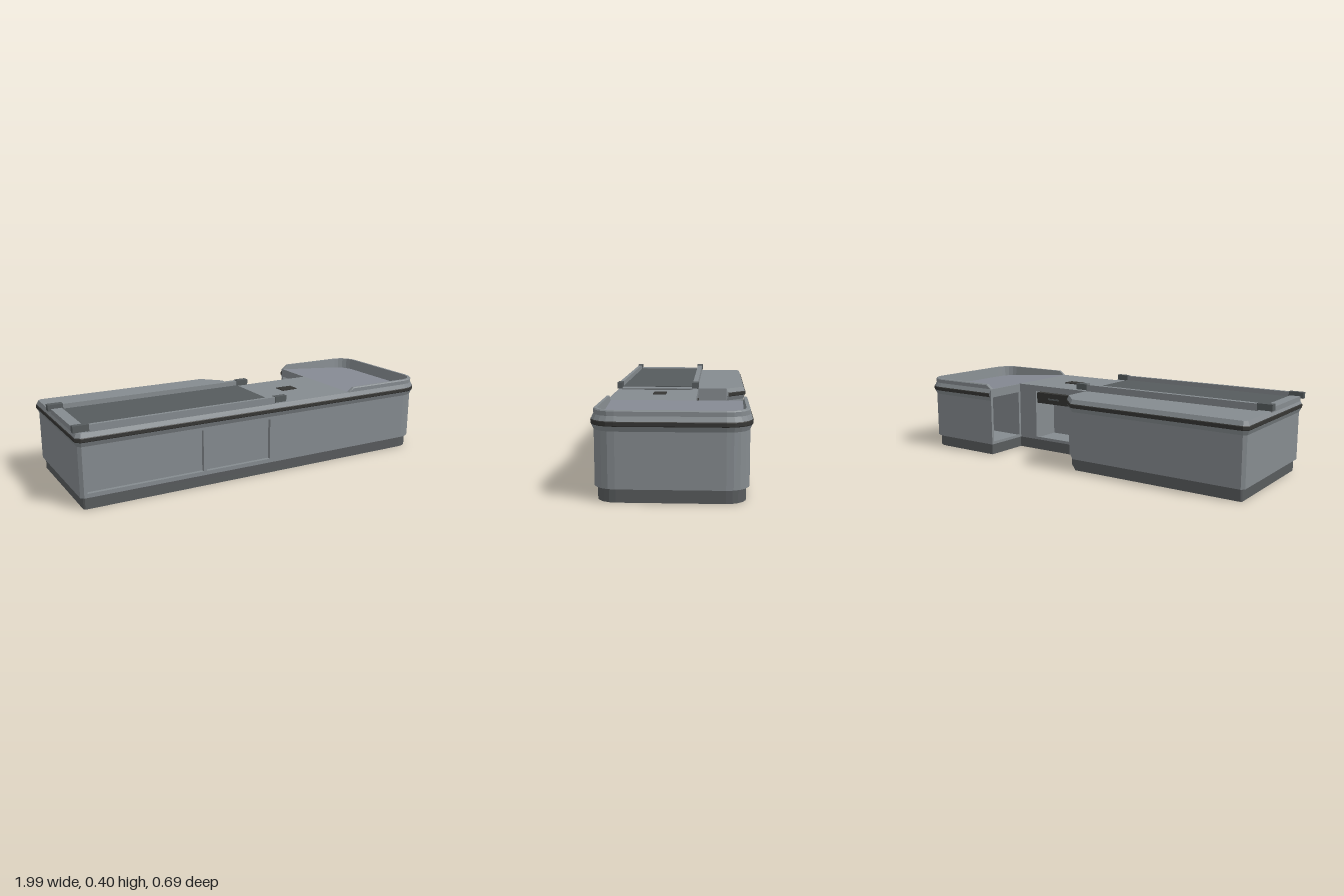
import * as THREE from 'three';

const mat = (name, color) => {
  const m = new THREE.MeshStandardMaterial({ color, side: THREE.DoubleSide });
  m.name = name;
  return m;
};

export function createModel() {
  const body = mat('grey panel', 0x858b8f);
  const trayGrey = mat('tray grey', 0x858993);
  const base = mat('plinth grey', 0x585b5d);
  const beltGrey = mat('belt grey', 0x565b5d);
  const dark = mat('dark trim', 0x363634);
  const group = new THREE.Group();

  const add = (name, geo, material) => {
    const mesh = new THREE.Mesh(geo, material);
    mesh.name = name;
    group.add(mesh);
    return mesh;
  };
  const box = (name, material, x0, x1, y0, y1, z0, z1) => {
    const g = new THREE.BoxGeometry(x1 - x0, y1 - y0, z1 - z0);
    g.translate((x0 + x1) / 2, (y0 + y1) / 2, (z0 + z1) / 2);
    return add(name, g, material);
  };

  // Outer outline [x, z], from the tray's notch corner round to the shelf's chamfer
  const arc = (cx, cz, r, from, n = 5) => Array.from({ length: n + 1 }, (_, i) => {
    const a = from + (i / n) * Math.PI / 2;
    return [cx + r * Math.cos(a), cz + r * Math.sin(a)];
  });
  const trayPath = [[0.5, -0.33], [0.53, -0.33], ...arc(0.88, -0.23, 0.1, -Math.PI / 2),
    ...arc(0.88, 0.23, 0.1, 0), [0.53, 0.33], [0.5, 0.33]];
  const restPath = [[-0.965, 0.33], [-0.98, 0.315], [-0.98, -0.315], [-0.965, -0.33],
    [-0.05, -0.33], [0.04, -0.24]];
  const path = [...trayPath, ...restPath];
  const plan = [...path, [0.04, -0.09], [0.5, -0.09]];

  // Mitred outward offset of an outline
  const offset = (pts, d, closed = false) => pts.map((p, i) => {
    const n = pts.length;
    const normal = (a, b) => new THREE.Vector2(b[1] - a[1], a[0] - b[0]).normalize();
    const prev = i > 0 ? pts[i - 1] : closed ? pts[n - 1] : null;
    const next = i < n - 1 ? pts[i + 1] : closed ? pts[0] : null;
    const n1 = prev ? normal(prev, p) : normal(p, next);
    const n2 = next ? normal(p, next) : n1;
    const k = d / (1 + n1.dot(n2));
    return [p[0] + (n1.x + n2.x) * k, p[1] + (n1.y + n2.y) * k];
  });

  // Sweep a profile of [offset, y] along an outline
  const sweep = (pts, profile, skip = () => false, yRule = (x, y) => y) => {
    const rows = profile.map(([d, y]) =>
      offset(pts, d).map(([x, z]) => [x, yRule(x, y), z]));
    const v = [];
    for (let j = 0; j < rows.length - 1; j++) {
      for (let i = 0; i < pts.length - 1; i++) {
        if (skip(pts[i], pts[i + 1])) continue;
        const a = rows[j][i], b = rows[j][i + 1], c = rows[j + 1][i + 1], d = rows[j + 1][i];
        v.push(...a, ...d, ...b, ...b, ...d, ...c);
      }
    }
    const g = new THREE.BufferGeometry();
    g.setAttribute('position', new THREE.Float32BufferAttribute(v, 3));
    g.computeVertexNormals();
    return g;
  };

  const toShape = pts => new THREE.Shape(pts.map(([x, z]) => new THREE.Vector2(x, -z)));
  const slab = (pts, y, h) => new THREE.ExtrudeGeometry(toShape(pts), { depth: h, bevelEnabled: false })
    .rotateX(-Math.PI / 2).translate(0, y, 0);
  const rect = (C, x0, x1, y0, y1) => {
    const s = new C();
    s.moveTo(x0, y0).lineTo(x1, y0).lineTo(x1, y1).lineTo(x0, y1).closePath();
    return s;
  };
  const panel = (outer, holes, depth) => {
    const s = rect(THREE.Shape, ...outer);
    holes.forEach(h => s.holes.push(rect(THREE.Path, ...h)));
    return new THREE.ExtrudeGeometry(s, { depth, bevelEnabled: false });
  };

  // Plinth and body floor
  add('plinth', slab(offset(plan, -0.014, true), 0, 0.06), base);
  add('bodyFloor', slab(plan, 0.06, 0.008), body);

  // Outer walls, with the front left for the panelled piece
  const isFront = (a, b) => a[1] > 0.329 && b[1] > 0.329;
  add('outerWalls', sweep(path, [[0, 0.06], [0, 0.365]], isFront), body);
  const front = panel([-0.965, 0.88, 0.06, 0.365],
    [[-0.95, -0.365, 0.08, 0.29], [-0.35, 0.01, 0.08, 0.29]], 0.02);
  add('frontWall', front.translate(0, 0, 0.31), body);
  box('frontRecessBacking', body, -0.96, 0.03, 0.07, 0.3, 0.3, 0.311);

  // Bumper strip between two sloping shoulders
  add('lowerShoulder', sweep(path, [[0, 0.303], [0.01, 0.325]]), body);
  add('bumper', sweep(path, [[0.008, 0.324], [0.013, 0.328], [0.013, 0.343], [0.008, 0.348]]), dark);
  add('upperShoulder', sweep(path, [[0.01, 0.346], [0, 0.367]]), body);

  // Worktop and rear shelf
  const topPlan = [[0.5, -0.09], [0.5, 0.33], ...restPath, [0.04, -0.09]];
  add('worktop', slab(topPlan, 0.345, 0.022), body);

  // Sunken tray with a sloping floor and raised rim
  const floor = new THREE.ShapeGeometry(toShape(offset(trayPath, -0.012))).rotateX(-Math.PI / 2);
  const pos = floor.attributes.position;
  for (let i = 0; i < pos.count; i++) pos.setY(i, 0.367 - 0.075 * (pos.getX(i) - 0.5));
  floor.computeVertexNormals();
  add('trayFloor', floor, trayGrey);
  const rimRise = (x, y) => Math.min(y, 0.367 + Math.max(0, x - 0.5) * 0.8);
  add('trayRim', sweep(trayPath, [[0, 0.365], [0, 0.386], [-0.004, 0.391], [-0.017, 0.391], [-0.025, 0.325]],
    undefined, rimRise), body);

  // Cashier notch: shelf side, knee recess and open tray cabinet
  box('shelfSide', body, 0.03, 0.04, 0.06, 0.365, -0.24, -0.09);
  const back = panel([0.04, 0.5, 0.06, 0.36], [[0.05, 0.385, 0.075, 0.335]], 0.012);
  add('notchWall', back.translate(0, 0, -0.09), body);
  box('recessBack', body, 0.04, 0.395, 0.065, 0.35, 0.07, 0.08);
  for (const x of [0.04, 0.385]) box('recessSide', body, x, x + 0.01, 0.065, 0.35, -0.085, 0.075);
  const cabinet = panel([0.09, 0.33, 0.06, 0.365], [[0.105, 0.315, 0.075, 0.32]], 0.01);
  add('cabinetFrame', cabinet.rotateY(Math.PI / 2).translate(0.5, 0, 0), body);
  box('cabinetInnerSide', body, 0.5, 0.97, 0.065, 0.32, -0.09, -0.08);

  // Cash drawer under the worktop
  box('cashDrawer', dark, 0.14, 0.37, 0.272, 0.33, -0.097, 0.06);
  box('drawerHandle', beltGrey, 0.22, 0.29, 0.295, 0.303, -0.1, -0.096);

  // Conveyor belt with side rails and end caps
  box('belt', beltGrey, -0.93, 0.036, 0.36, 0.378, -0.06, 0.31);
  box('beltEndPlate', body, -0.985, -0.932, 0.36, 0.384, -0.06, 0.31);
  box('beltExitPlate', body, 0.04, 0.1, 0.36, 0.375, -0.06, 0.31);
  for (const [z0, z1] of [[0.31, 0.332], [-0.09, -0.06]]) {
    box('beltRail', body, -0.93, 0.04, 0.36, 0.401, z0 + 0.002, z1 - 0.002);
    for (const [x0, x1] of [[-1, -0.925], [0.035, 0.1]]) {
      box('railCap', beltGrey, x0, x1, 0.373, 0.404, z0 - 0.002, z1 + 0.002);
    }
  }
  box('beltSensorStrip', beltGrey, 0.107, 0.111, 0.365, 0.369, -0.05, 0.19);

  // Scanner window
  box('scannerWindow', dark, 0.21, 0.3, 0.365, 0.371, 0.065, 0.13);
  return group;
}
